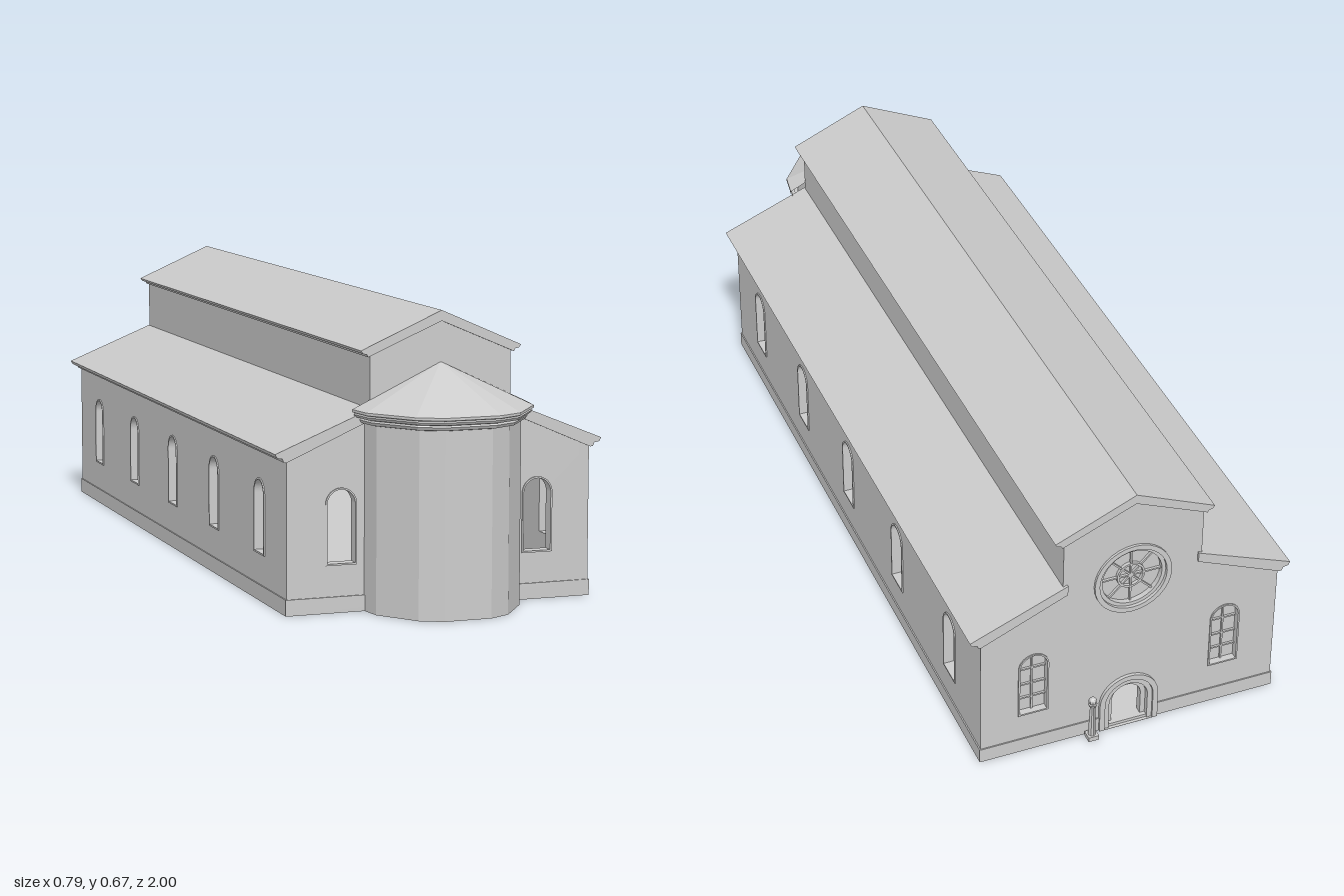
import * as THREE from 'three';

const mat = new THREE.MeshStandardMaterial({ color: 0xcccccc, flatShading: true, side: THREE.DoubleSide });
const HALF = 0.365, NAVE = 0.169, FRONT = 0.802, BACK = -0.968, THICK = 0.025;
const MID = (FRONT + BACK) / 2, LENGTH = FRONT - BACK;

function add(parent, name, geometry, x = 0, y = 0, z = 0) {
  const mesh = new THREE.Mesh(geometry, mat);
  mesh.name = name;
  mesh.position.set(x, y, z);
  parent.add(mesh);
  return mesh;
}

const polygon = (pts) => new THREE.Shape(pts.map(([x, y]) => new THREE.Vector2(x, y)));

// Round-headed outline: centre x, bottom, width, top
function arch(cx, y0, w, top) {
  const r = w / 2, s = new THREE.Shape();
  s.moveTo(cx - r, y0);
  s.lineTo(cx + r, y0);
  s.lineTo(cx + r, top - r);
  s.absarc(cx, top - r, r, 0, Math.PI, false);
  s.lineTo(cx - r, y0);
  return s;
}

function circle(y, r) {
  const s = new THREE.Shape();
  s.absarc(0, y, r, 0, Math.PI * 2, false);
  return s;
}

// Plate lying between local depths z0 and z1
function plate(parent, name, shape, holes, z0, z1) {
  shape.holes.push(...holes);
  const g = new THREE.ExtrudeGeometry(shape, { depth: z1 - z0, bevelEnabled: false, curveSegments: 16 });
  g.translate(0, 0, z0);
  return add(parent, name, g);
}

// Group whose local +z points out of the wall
function facing(parent, name, x, z, turn) {
  const g = new THREE.Group();
  g.name = name;
  g.position.set(x, 0, z);
  g.rotation.y = turn;
  parent.add(g);
  return g;
}

const windowHole = (u) => arch(u, 0.112, 0.066, 0.279);
const windowFrame = (wall, u) =>
  plate(wall, 'windowFrame', arch(u, 0.108, 0.074, 0.283), [windowHole(u)], -0.006, 0.003);

// Gable outline shared by both end walls
const gable = (notch) => polygon([
  [-HALF, 0], ...notch, [HALF, 0], [HALF, 0.352], [NAVE, 0.44], [NAVE, 0.585],
  [0, 0.656], [-NAVE, 0.585], [-NAVE, 0.44], [-HALF, 0.352]]);

// Half-round apse: a profile of [radius, y] swept over uneven facets
function apseGeometry(profile) {
  const angles = [-90, -72, -36, -18, 18, 36, 72, 90].map((a) => a * Math.PI / 180);
  const pos = [];
  const at = (a, [r, y]) => [r * Math.sin(a), y, r * Math.cos(a)];
  for (let i = 0; i < angles.length - 1; i++) {
    for (let j = 0; j < profile.length - 1; j++) {
      const a = at(angles[i], profile[j]), b = at(angles[i + 1], profile[j]);
      const c = at(angles[i + 1], profile[j + 1]), d = at(angles[i], profile[j + 1]);
      if (profile[j][0] > 0) pos.push(...a, ...b, ...c);
      if (profile[j + 1][0] > 0) pos.push(...a, ...c, ...d);
    }
  }
  const g = new THREE.BufferGeometry();
  g.setAttribute('position', new THREE.Float32BufferAttribute(pos, 3));
  g.computeVertexNormals();
  return g;
}

export function createModel() {
  const model = new THREE.Group();
  model.name = 'basilica';

  add(model, 'floor', new THREE.BoxGeometry(HALF * 2, 0.008, LENGTH), 0, 0.004, MID);

  // Side walls, plinths, windows and upper nave walls
  for (const s of [1, -1]) {
    const wall = facing(model, s > 0 ? 'leftWall' : 'rightWall', s * HALF, MID, s * Math.PI / 2);
    const us = [0.612, 0.265, -0.08, -0.428, -0.775].map((z) => -s * (z - MID));
    const h = LENGTH / 2;
    plate(wall, 'sideWall', polygon([[-h, 0], [h, 0], [h, 0.355], [-h, 0.355]]), us.map(windowHole), -THICK, 0);
    us.forEach((u) => windowFrame(wall, u));
    add(wall, 'plinth', new THREE.BoxGeometry(LENGTH + 0.005, 0.037, 0.006), 0, 0.0185, 0);
    add(model, 'naveWall', new THREE.BoxGeometry(0.02, 0.15, LENGTH), s * (NAVE - 0.01), 0.51, MID);
  }

  // Front wall
  const front = facing(model, 'frontWall', 0, FRONT, 0);
  plate(front, 'gableWall', gable([]), [windowHole(-0.237), windowHole(0.237)], -THICK, 0);
  add(front, 'plinth', new THREE.BoxGeometry(HALF * 2 + 0.005, 0.037, 0.006), 0, 0.0185, 0);

  // Back wall with a doorway notch and a round window
  const back = facing(model, 'backWall', 0, BACK, Math.PI);
  const doorway = [[-0.05, 0], [-0.05, 0.09]];
  for (let i = 1; i < 12; i++) {
    const a = Math.PI * (1 - i / 12);
    doorway.push([0.05 * Math.cos(a), 0.09 + 0.05 * Math.sin(a)]);
  }
  doorway.push([0.05, 0.09], [0.05, 0]);
  plate(back, 'gableWall', gable(doorway),
    [windowHole(-0.237), windowHole(0.237), circle(0.434, 0.085)], -THICK, 0);

  for (const s of [1, -1]) {
    windowFrame(front, s * 0.237);
    windowFrame(back, s * 0.237);
    add(back, 'plinth', new THREE.BoxGeometry(HALF - 0.068, 0.037, 0.006), s * (HALF + 0.07) / 2, 0.0185, 0);
    // Glazing with bars
    plate(back, 'windowPane', windowHole(s * 0.237), [], -0.018, -0.014);
    add(back, 'windowBar', new THREE.BoxGeometry(0.004, 0.165, 0.006), s * 0.237, 0.195, -0.012);
    for (const y of [0.15, 0.19, 0.235]) {
      add(back, 'windowBar', new THREE.BoxGeometry(0.066, 0.004, 0.006), s * 0.237, y, -0.012);
    }
  }

  // Round window: stepped rings, pane and tracery
  plate(back, 'roseFrame', circle(0.434, 0.094), [circle(0.434, 0.082)], -0.01, 0.006);
  plate(back, 'roseInnerFrame', circle(0.434, 0.083), [circle(0.434, 0.073)], -0.015, -0.002);
  plate(back, 'rosePane', circle(0.434, 0.085), [], -0.02, -0.016);
  plate(back, 'roseHub', circle(0.434, 0.034), [circle(0.434, 0.029)], -0.016, -0.008);
  for (let i = 0; i < 4; i++) {
    const bar = add(back, 'roseBar', new THREE.BoxGeometry(0.15, 0.004, 0.006), 0, 0.434, -0.012);
    bar.rotation.z = i * Math.PI / 4;
  }

  // Portal of stepped arches, each set deeper than the last
  [[0.146, 0.12, 0.147, 0.008], [0.12, 0.096, 0.132, 0.003], [0.096, 0.072, 0.118, -0.01]]
    .forEach(([outer, inner, top, z]) => {
      plate(back, 'portalArch', arch(0, 0, outer, top),
        [arch(0, 0.0005, inner, top - (outer - inner) / 2)], z - 0.018, z);
    });

  // Slim post beside the door
  const post = facing(model, 'post', 0.097, -0.987, 0);
  add(post, 'postBase', new THREE.BoxGeometry(0.026, 0.012, 0.026), 0, 0.006, 0);
  add(post, 'postShaft', new THREE.CylinderGeometry(0.006, 0.009, 0.09, 10), 0, 0.055, 0);
  add(post, 'postCap', new THREE.CylinderGeometry(0.011, 0.008, 0.008, 10), 0, 0.1, 0);
  add(post, 'postBall', new THREE.SphereGeometry(0.01, 10, 8), 0, 0.112, 0);

  // Roofs, with moulded eaves
  const z0 = BACK - 0.006, z1 = FRONT + 0.005;
  const naveHalf = [[0.175, 0.573], [0.178, 0.579], [0.187, 0.581], [0.192, 0.588]];
  plate(model, 'naveRoof', polygon([
    [0, 0.648], ...naveHalf, [0, 0.672],
    ...naveHalf.map(([x, y]) => [-x, y]).reverse()]), [], z0, z1);
  for (const s of [1, -1]) {
    plate(model, 'aisleRoof', polygon([
      [NAVE - 0.01, 0.436], [0.366, 0.346], [0.373, 0.347], [0.376, 0.355],
      [0.388, 0.357], [0.393, 0.366], [NAVE - 0.01, 0.461],
    ].map(([x, y]) => [s * x, y])), [], z0, z1);
  }

  // Apse with moulded cornice and faceted roof
  const apse = facing(model, 'apse', 0, FRONT - 0.002, 0);
  add(apse, 'apseWall', apseGeometry([[0, 0], [0.182, 0], [0.182, 0.425]]));
  add(apse, 'apseCornice', apseGeometry([
    [0.182, 0.425], [0.192, 0.427], [0.196, 0.434], [0.194, 0.438], [0.203, 0.44],
    [0.207, 0.446], [0.205, 0.449], [0.21, 0.451], [0.21, 0.457]]));
  add(apse, 'apseRoof', apseGeometry([[0.21, 0.457], [0, 0.556]]));

  return model;
}
